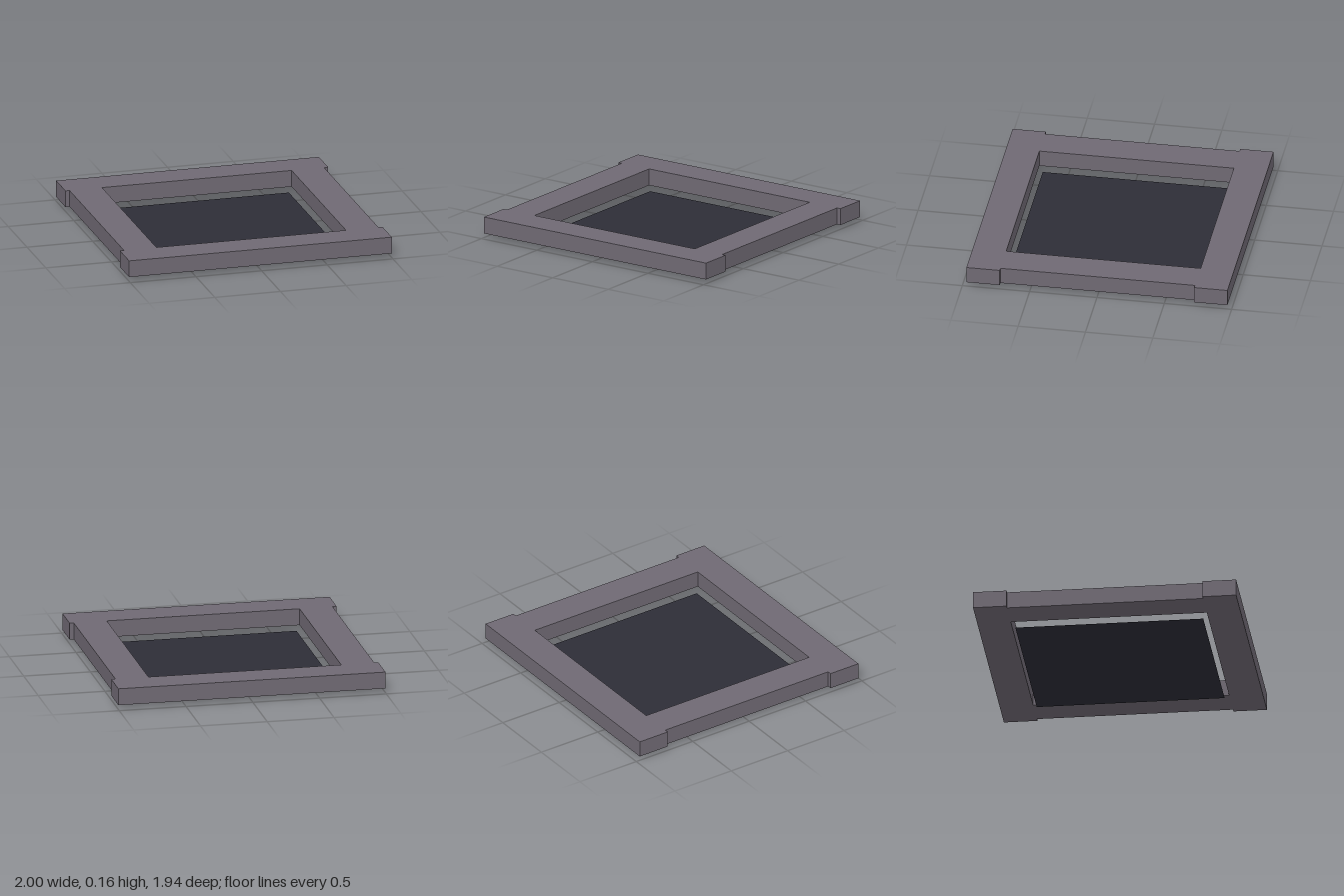
import * as THREE from 'three';

export function createModel() {
  const model = new THREE.Group();
  const stone = new THREE.MeshStandardMaterial({ color: 0x6f6973 });
  stone.name = 'grey stone';
  const dark = new THREE.MeshStandardMaterial({ color: 0x2d2d37, side: THREE.DoubleSide });
  dark.name = 'dark slate';

  const bottom = 0.033, height = 0.125, width = 0.247;
  const inner = 0.722, middle = inner + width / 2;

  function addRail(name, sx, sz, x, z) {
    const rail = new THREE.Mesh(new THREE.BoxGeometry(sx, height, sz), stone);
    rail.name = name;
    rail.position.set(x, bottom + height / 2, z);
    model.add(rail);
  }

  // Long front and back rails overhang the side rails slightly
  for (const s of [1, -1]) {
    addRail(s > 0 ? 'frontRail' : 'backRail', 2, width, 0, s * middle);
    addRail(s > 0 ? 'leftRail' : 'rightRail', width, inner * 2, s * middle, 0);
  }

  // Thin floor panel lying below the frame, with a gap all round
  const panel = new THREE.Mesh(new THREE.PlaneGeometry(1.384, 1.384), dark);
  panel.name = 'floorPanel';
  panel.rotation.x = -Math.PI / 2;
  model.add(panel);

  return model;
}
